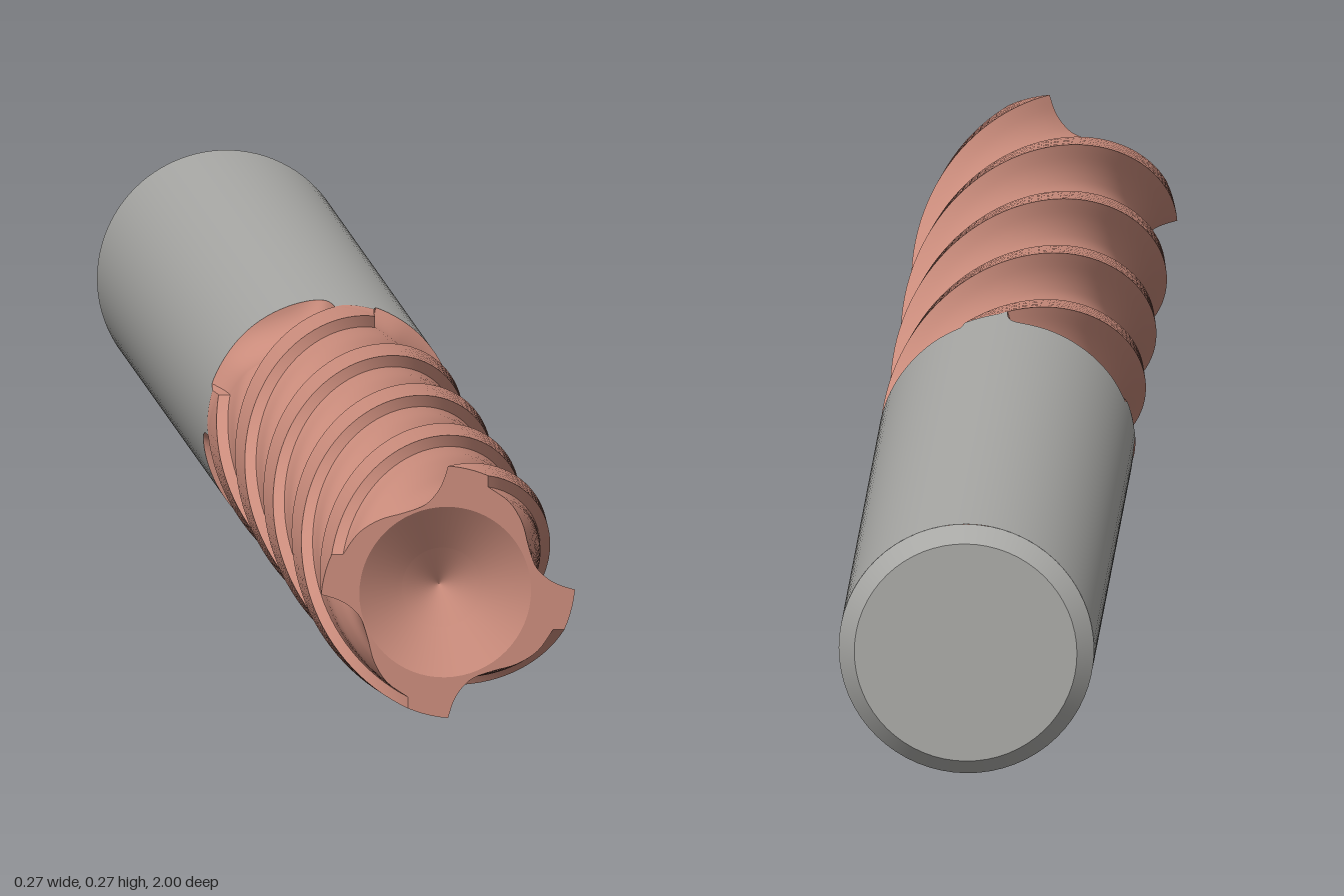
import * as THREE from 'three';

const R = 0.133;            // shank and cutting radius
const RUNOUT = 0.05;        // length over which the flutes fade into the shank
const BACK = -1, CHAMFER = 0.018;
const TEETH = 4;

const carbide = new THREE.MeshStandardMaterial({ color: 0xa8a8a5 });
carbide.name = 'shank grey';
const coating = new THREE.MeshStandardMaterial({ color: 0xc98b7b });
coating.name = 'copper coating';

// Grid surface from a rule; u runs counter-clockwise, v runs towards the front
function grid(nu, nv, rule) {
  const pos = [], idx = [];
  for (let j = 0; j <= nv; j++) {
    for (let i = 0; i <= nu; i++) pos.push(...rule(i, j / nv));
  }
  for (let j = 0; j < nv; j++) {
    for (let i = 0; i < nu; i++) {
      const a = j * (nu + 1) + i, b = a + 1, d = a + nu + 1, c = d + 1;
      idx.push(a, b, c, a, c, d);
    }
  }
  const g = new THREE.BufferGeometry();
  g.setAttribute('position', new THREE.Float32BufferAttribute(pos, 3));
  g.setIndex(idx);
  g.computeVertexNormals();
  return g;
}

const polar = (angle, r, z) => [r * Math.cos(angle), r * Math.sin(angle), z];

// Cross-section of one tooth as [angle, radius], split at its sharp edges
function toothStrips() {
  const curve = new THREE.SplineCurve([
    [0.133, 0], [0.115, 0.006], [0.101, 0.015], [0.091, 0.027], [0.084, 0.048],
    [0.0775, 0.072], [0.064, 0.094], [0.042, 0.11],
  ].map(([x, y]) => new THREE.Vector2(x, y)));
  const toPolar = (p) => [Math.atan2(p.y, p.x), Math.min(R, p.length())];
  const flute = curve.getPoints(28).map(toPolar);
  const heel = [flute[flute.length - 1], toPolar(new THREE.Vector2(0.042, 0.122))];
  const land = [];
  for (let i = 0; i <= 5; i++) {
    const t = i / 5;
    land.push([
      THREE.MathUtils.lerp(heel[1][0], Math.PI / 2, t),
      THREE.MathUtils.lerp(heel[1][1], R, t),
    ]);
  }
  return { flute, heel, land };
}

export function createModel() {
  const group = new THREE.Group();
  const tool = new THREE.Group();
  tool.name = 'endMill';
  tool.position.y = R;
  group.add(tool);

  const add = (name, geometry, material) => {
    const mesh = new THREE.Mesh(geometry, material);
    mesh.name = name;
    tool.add(mesh);
    return mesh;
  };

  // Surface of revolution about the z axis from [radius, z] points
  const turned = (name, points, material) => {
    const g = new THREE.LatheGeometry(points.map(([r, z]) => new THREE.Vector2(r, z)), 64);
    g.rotateX(Math.PI / 2);
    return add(name, g, material);
  };

  const strips = toothStrips();
  const maxDepth = R - Math.min(...strips.flute.map((p) => p[1]));

  // Run-out: the groove floor rises along an arc until it meets the shank
  const lift = (z) => maxDepth * (1 - Math.sqrt(Math.max(0, 1 - (z / RUNOUT) ** 2)));
  const runoutEnd = (r) => {
    const k = 1 - Math.min(1, (R - r) / maxDepth);
    return -RUNOUT * Math.sqrt(Math.max(0, 1 - k * k));
  };

  // Helical teeth, one full turn over the cutting length
  const outline = [];
  for (let n = 0; n < TEETH; n++) {
    const start = (n / TEETH) * Math.PI * 2;
    for (const [name, strip] of Object.entries(strips)) {
      const count = strip.length - 1;
      add(name, grid(count, 96, (i, v) =>
        polar(start + strip[i][0] + v * Math.PI * 2, strip[i][1], v)), coating);

      add(name + 'Runout', grid(count, 12, (i, v) => {
        const [angle, r] = strip[i];
        const z = runoutEnd(r) * Math.sin((1 - v) * Math.PI / 2);
        return polar(start + angle, Math.min(R, r + lift(z)), z);
      }), coating);

      strip.slice(0, -1).forEach(([a, r]) => outline.push([start + a, r]));
    }
  }

  // Shank, its front edge following the run-out of the flutes
  const columns = outline.length;
  const shank = grid(columns, 1, (i, v) => {
    const [a, r] = outline[i % columns];
    return polar(a, R, v === 0 ? BACK + CHAMFER : runoutEnd(r));
  });
  const p = shank.attributes.position, nrm = shank.attributes.normal;
  for (let i = 0; i < p.count; i++) nrm.setXYZ(i, p.getX(i) / R, p.getY(i) / R, 0);
  add('shank', shank, carbide);
  turned('shankChamfer', [[R - 0.017, BACK], [R, BACK + CHAMFER]], carbide);
  turned('shankEnd', [[0, BACK], [R - 0.017, BACK]], carbide);

  // Cutting end: flat tooth faces around a dished centre
  const dishX = -0.003, dishR = 0.09, holeR = 0.042;
  const face = new THREE.Shape(outline.map(([a, r]) =>
    new THREE.Vector2(r * Math.cos(a), r * Math.sin(a))));
  const hole = new THREE.Path();
  hole.absarc(dishX, 0, dishR, 0, Math.PI * 2, true);
  face.holes.push(hole);
  const faceGeometry = new THREE.ShapeGeometry(face, 32);
  faceGeometry.translate(0, 0, 1);
  add('cuttingFace', faceGeometry, coating);

  turned('dish', [[dishR, 1], [holeR, 0.97]], coating).position.x = dishX;
  turned('centreHole', [[holeR, 0.97], [0, 0.945]], coating).position.x = dishX;

  return group;
}
